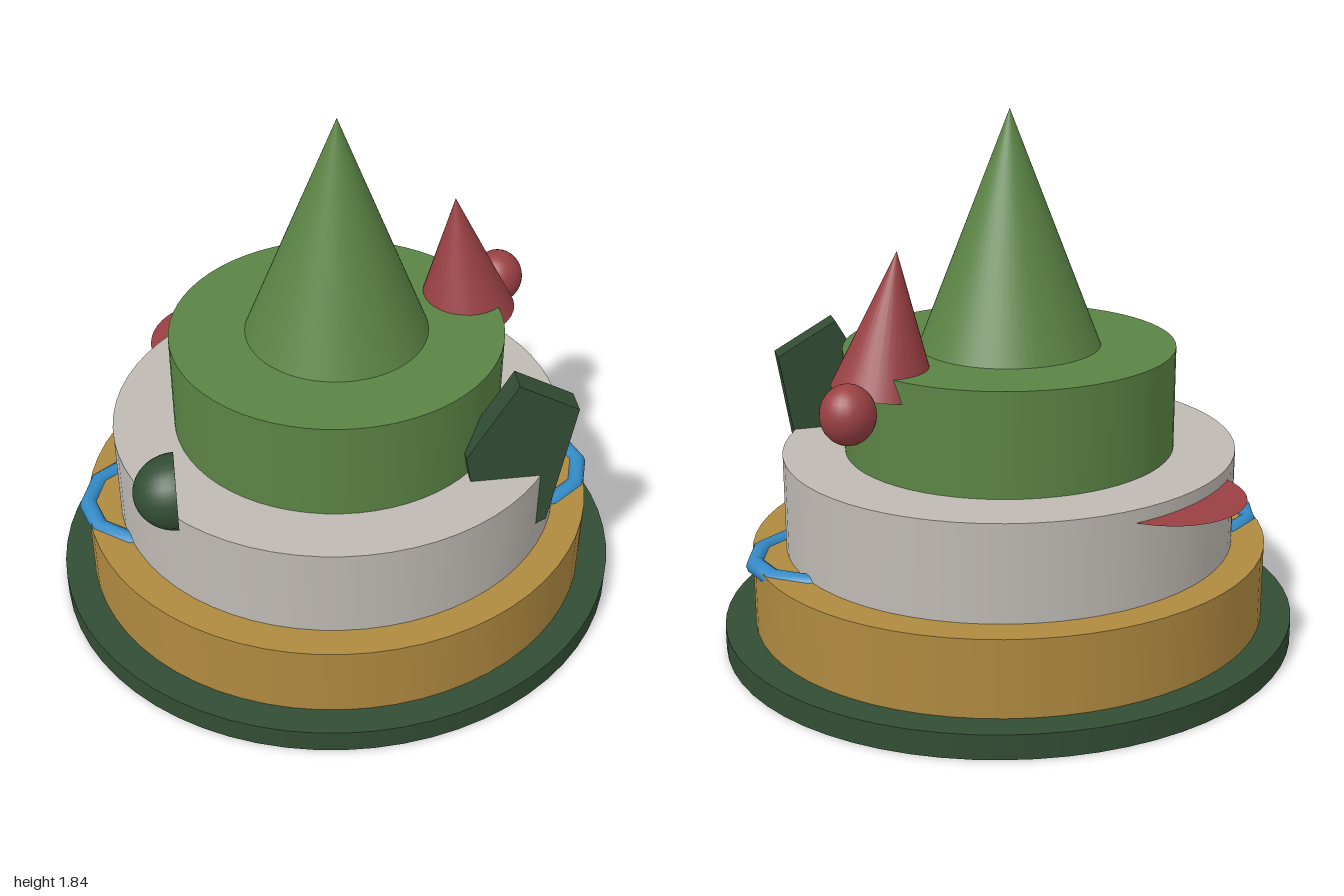
import * as THREE from 'three';

const flat = (name, color, double) => {
  const m = new THREE.MeshStandardMaterial({ color });
  m.name = name;
  if (double) m.side = THREE.DoubleSide;
  return m;
};

export function createModel() {
  const model = new THREE.Group();
  model.name = 'tieredModel';

  const darkGreen = flat('dark green', 0x324d34, true);
  const gold = flat('gold', 0xb08a40);
  const grey = flat('warm grey', 0xbeb9b3);
  const green = flat('leaf green', 0x5b8445);
  const red = flat('red', 0x994043, true);
  const blue = flat('blue', 0x338ac6);

  const add = (name, geometry, material, x = 0, y = 0, z = 0) => {
    const mesh = new THREE.Mesh(geometry, material);
    mesh.name = name;
    mesh.position.set(x, y, z);
    model.add(mesh);
    return mesh;
  };

  // Stacked oval tiers: name, x radius, z radius, bottom, top, material
  const tiers = [
    ['basePlate', 1, 0.938, 0, 0.085, darkGreen],
    ['lowerTier', 0.895, 0.84, 0.085, 0.352, gold],
    ['middleTier', 0.78, 0.735, 0.352, 0.685, grey],
    ['upperTier', 0.567, 0.538, 0.685, 1.04, green],
  ];
  for (const [name, rx, rz, y0, y1, material] of tiers) {
    const tier = add(name, new THREE.CylinderGeometry(1, 1, y1 - y0, 64), material, 0, (y0 + y1) / 2, 0);
    tier.scale.set(rx, 1, rz);
  }

  // Tall central cone
  const peak = add('centralCone', new THREE.ConeGeometry(1, 0.795, 64), green, 0, 1.04 + 0.795 / 2, 0);
  peak.scale.set(0.31, 1, 0.3);

  // Small leaning cone, tilted about its tip
  const leaning = new THREE.ConeGeometry(0.173, 0.455, 32).translate(0, -0.2275, 0);
  add('leaningCone', leaning, red, 0.42, 1.42, -0.152).rotation.z = 0.115;

  // Ball beside the leaning cone
  add('ball', new THREE.SphereGeometry(1, 24, 16), red, 0.63, 0.957, -0.347).scale.set(0.09, 0.098, 0.09);

  // Hollow half dome, open toward the middle
  const dome = new THREE.SphereGeometry(1, 24, 10, 0, Math.PI * 2, 0, Math.PI / 2).rotateZ(Math.PI / 2);
  add('halfDome', dome, darkGreen, -0.58, 0.766, 0.445).scale.set(0.14, 0.128, 0.125);

  // Angular slab set into the middle tier
  const outline = [
    [0.53, 1.07], [0.37, 0.785], [0.41, 0.57], [0.52, 0.41], [0.66, 0.485], [0.735, 0.955],
  ].map(([x, y]) => new THREE.Vector2(x, y));
  const slab = new THREE.ExtrudeGeometry(new THREE.Shape(outline), { depth: 0.085, bevelEnabled: false });
  add('angularSlab', slab, darkGreen, 0, 0, 0.352);

  // Thin disc jutting from the back of the middle tier
  add('backDisc', new THREE.CircleGeometry(0.26, 40).rotateX(-Math.PI / 2), red, -0.37, 0.64, -0.522);

  // Ring handles on both sides
  for (const side of [1, -1]) {
    const ring = new THREE.TorusGeometry(0.212, 0.032, 10, 10).rotateX(Math.PI / 2);
    const handle = add(side > 0 ? 'leftHandle' : 'rightHandle', ring, blue, side * 0.682, 0.338, 0);
    if (side < 0) handle.rotation.y = Math.PI;
  }

  return model;
}
